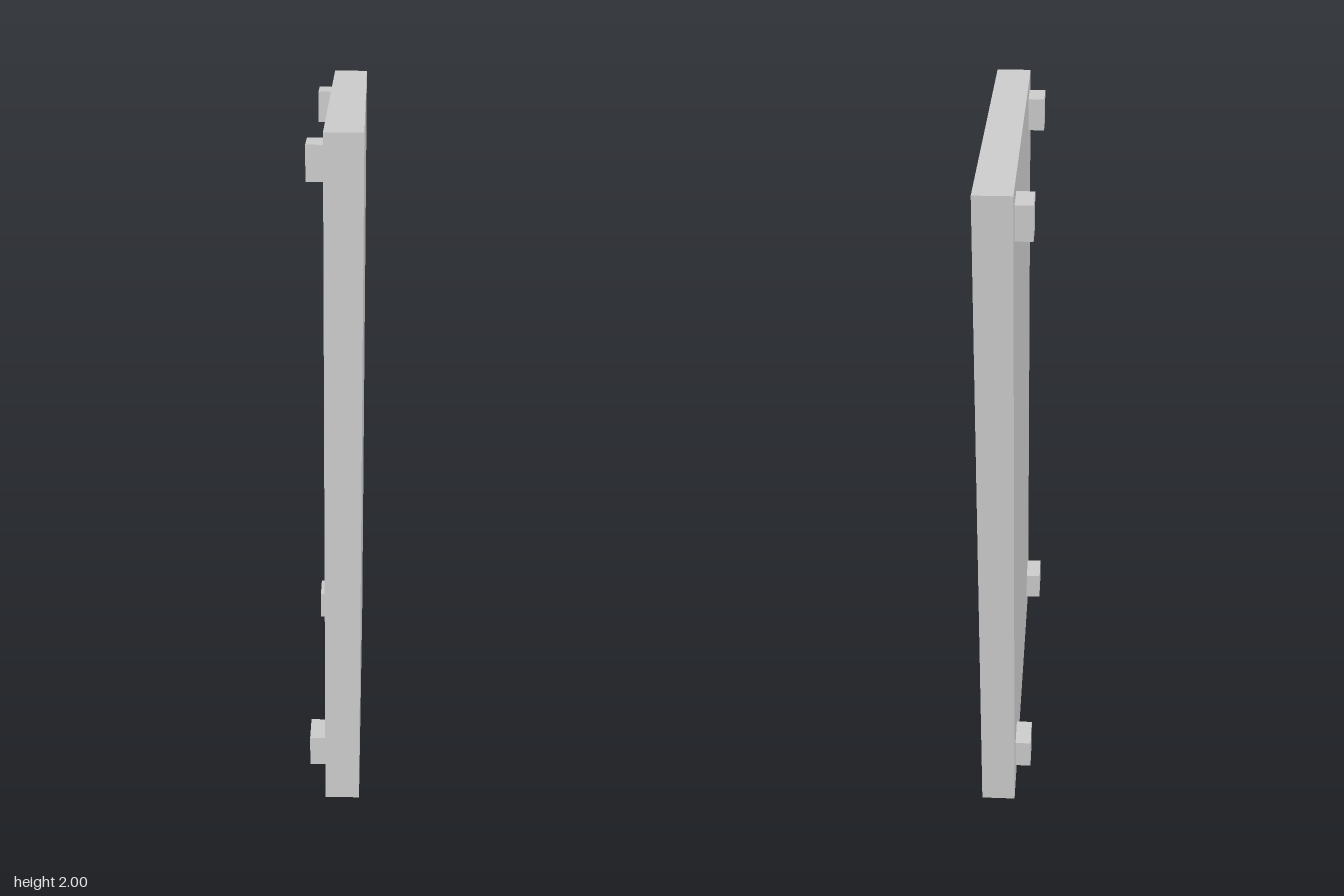
import * as THREE from 'three';

const TILT = -0.0363; // the whole panel leans slightly in its own plane

export function createModel() {
  const model = new THREE.Group();
  const material = new THREE.MeshStandardMaterial({ color: 0xcccccc, flatShading: true });

  const tiltedPanel = new THREE.Group();
  tiltedPanel.name = 'tiltedPanel';
  tiltedPanel.position.y = 1;
  tiltedPanel.rotation.x = TILT;
  model.add(tiltedPanel);

  const addBox = (name, size, position) => {
    const mesh = new THREE.Mesh(new THREE.BoxGeometry(...size), material);
    mesh.name = name;
    mesh.position.set(...position);
    tiltedPanel.add(mesh);
  };

  // Main slab
  addBox('slab', [0.1, 1.963, 1.06], [0.0225, 0, 0]);

  // Four small mounting blocks near the corners of the -x face
  for (const [row, y, shift] of [['upper', 0.893, -0.006], ['lower', -0.856, 0.006]]) {
    for (const [side, z] of [['Front', 0.425], ['Back', -0.425]]) {
      addBox(`${row}${side}Block`, [0.047, 0.093, 0.095], [-0.0505, y, z + shift]);
    }
  }
  return model;
}
